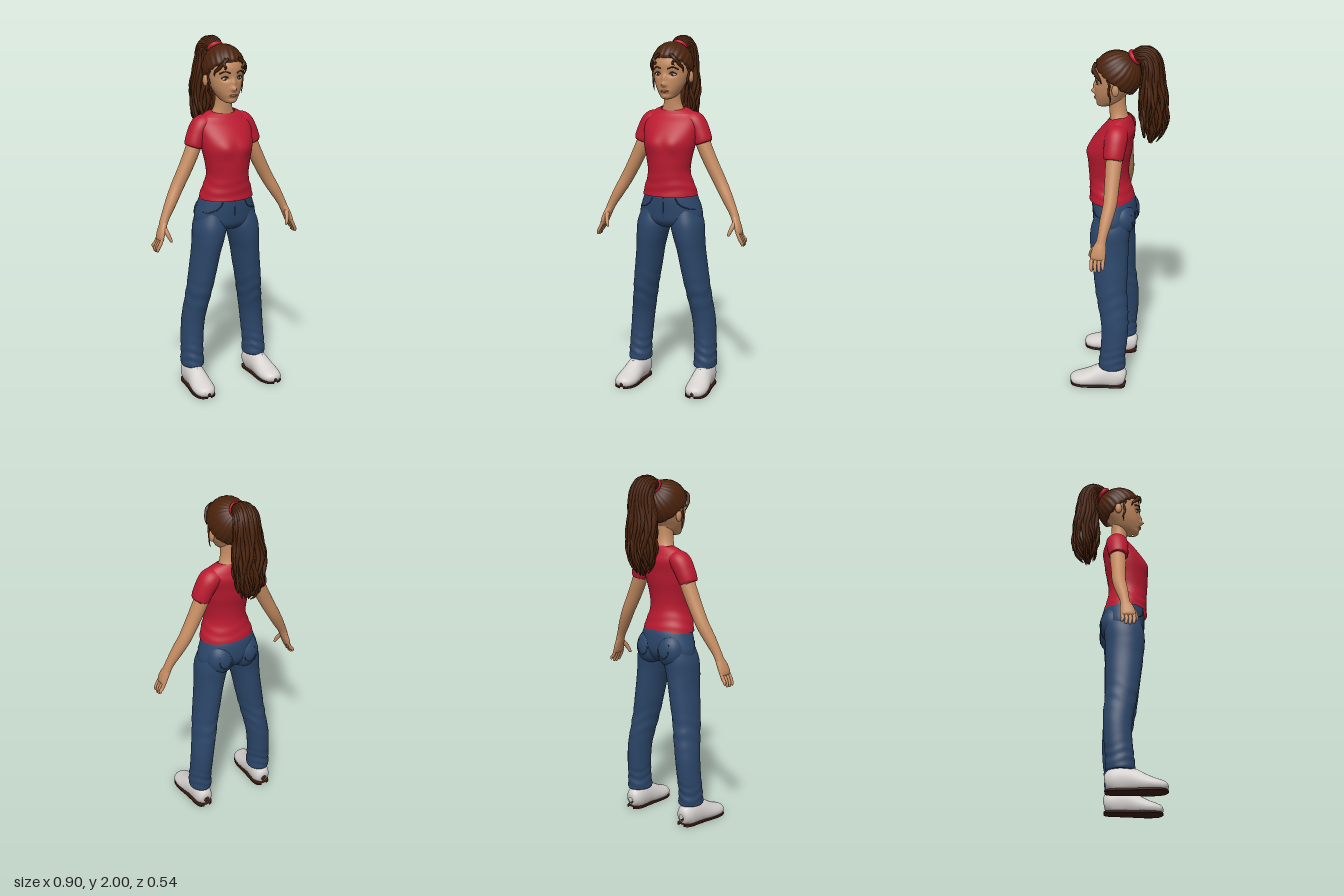
import * as THREE from 'three';

const mat = (name, color, side = THREE.FrontSide) => Object.assign(new THREE.MeshStandardMaterial({ color, side }), { name });
const V = (x, y, z) => new THREE.Vector3(x, y, z);
const gauss = (a, b = 0) => Math.exp(-(a * a + b * b));

export function createModel() {
  const root = new THREE.Group();
  root.name = 'standingWoman';
  const skin = mat('skin', 0xc58c62);
  const hair = mat('hair', 0x4a230c, THREE.DoubleSide);
  const red = mat('redCloth', 0xba1a30, THREE.DoubleSide);
  const denim = mat('denim', 0x2b4669, THREE.DoubleSide);
  const seam = mat('denimSeam', 0x22385a);
  const shoeWhite = mat('shoeWhite', 0xd6d2d0);
  const soleBrown = mat('soleBrown', 0x3c1c10);
  const eyeWhite = mat('eyeWhite', 0xd9d6d0);
  const iris = mat('iris', 0x3a2a20);
  const lip = mat('lip', 0xb0685a);

  const add = (name, geo, material) => {
    const m = new THREE.Mesh(geo, material);
    m.name = name;
    root.add(m);
    return m;
  };

  // Smooth skin over elliptical rings; each row is [x, y, z, radiusA, radiusB].
  // flat keeps rings horizontal; bump scales a ring point; sculpt moves it.
  function sweep(name, rows, material, { seg = 40, rad = 28, flat = false, bump, sculpt } = {}) {
    const path = new THREE.CatmullRomCurve3(rows.map(r => V(r[0], r[1], r[2])), false, 'catmullrom');
    const size = new THREE.CatmullRomCurve3(rows.map(r => V(r[3], r[4], 0)), false, 'catmullrom');
    const pos = [], idx = [];
    const down = rows[rows.length - 1][1] < rows[0][1];
    for (let i = 0; i <= seg; i++) {
      const u = i / seg, c = path.getPoint(u), r = size.getPoint(u);
      const t = flat ? V(0, down ? -1 : 1, 0) : path.getTangent(u);
      const S = V(1, 0, 0).addScaledVector(t, -t.x).normalize();
      const B = t.clone().cross(S);
      for (let j = 0; j < rad; j++) {
        const th = j / rad * Math.PI * 2, k = bump ? bump(th, c.y, u) : 1;
        const p = c.clone().addScaledVector(S, Math.max(r.x, 0.001) * k * Math.cos(th))
          .addScaledVector(B, Math.max(r.y, 0.001) * k * Math.sin(th));
        if (sculpt) sculpt(p);
        pos.push(p.x, p.y, p.z);
        if (i < seg) {
          const a = i * rad + j, b = i * rad + (j + 1) % rad;
          idx.push(a, b, a + rad, b, b + rad, a + rad);
        }
      }
    }
    const g = new THREE.BufferGeometry();
    g.setAttribute('position', new THREE.Float32BufferAttribute(pos, 3));
    g.setIndex(idx);
    g.computeVertexNormals();
    return add(name, g, material);
  }
  const blob = (name, c, r, material) => {
    const g = new THREE.SphereGeometry(1, 24, 16).scale(...r).translate(...c);
    return add(name, g, material);
  };
  const cord = (name, pts, r, material) => add(name, new THREE.TubeGeometry(
    new THREE.CatmullRomCurve3(pts.map(p => V(...p))), 16, r, 6), material);
  const lock = (name, pts, r) => sweep(name, pts.map((p, i) => {
    const k = r * Math.max(0.12, Math.sin(Math.PI * (0.2 + 0.8 * i / (pts.length - 1))));
    return [...p, k, k];
  }), hair, { seg: 24, rad: 6 });

  // Head and neck
  sweep('neck', [[0, 1.56, 0, 0.09, 0.06], [0, 1.6, 0.01, 0.06, 0.051], [0, 1.65, 0.018, 0.047, 0.047],
    [0, 1.73, 0.025, 0.047, 0.05]], skin, { flat: true });
  sweep('head', [[0, 1.65, 0.1, 0.006, 0.006], [0, 1.657, 0.095, 0.03, 0.035], [0, 1.68, 0.069, 0.053, 0.069],
    [0, 1.72, 0.056, 0.076, 0.086], [0, 1.76, 0.041, 0.091, 0.101], [0, 1.8, 0.028, 0.1, 0.113],
    [0, 1.85, 0.026, 0.1, 0.116], [0, 1.9, 0.021, 0.084, 0.101], [0, 1.93, 0.012, 0.058, 0.07],
    [0, 1.945, 0.01, 0.005, 0.005]], skin, {
    seg: 84, rad: 88, flat: true, sculpt: p => {
      if (p.z < 0.05) return;
      const x = Math.abs(p.x), y = p.y;
      p.z += 0.023 * gauss(x / 0.014, (y - 1.734) / 0.013) + 0.013 * gauss(x / 0.011, (y - 1.765) / 0.024)
        - 0.011 * gauss((x - 0.042) / 0.02, (y - 1.79) / 0.014) + 0.005 * gauss(x / 0.024, (y - 1.7) / 0.012)
        - 0.004 * gauss(x / 0.03, (y - 1.682) / 0.008);
    },
  });
  blob('mouth', [0, 1.699, 0.137], [0.024, 0.0075, 0.013], lip);
  for (const s of [1, -1]) {
    blob('ear', [s * 0.108, 1.772, 0.012], [0.013, 0.033, 0.02], skin);
    blob('eyeball', [s * 0.042, 1.79, 0.111], [0.02, 0.011, 0.018], eyeWhite);
    blob('iris', [s * 0.042, 1.79, 0.1235], [0.008, 0.009, 0.007], iris);
    cord('lashes', [[s * 0.021, 1.789, 0.128], [s * 0.042, 1.802, 0.13], [s * 0.065, 1.791, 0.116]], 0.0028, hair);
    cord('eyebrow', [[s * 0.018, 1.819, 0.142], [s * 0.045, 1.829, 0.132], [s * 0.073, 1.816, 0.109]], 0.0038, hair);
    // Loose curls at the temple and ear
    lock('templeCurl', [[s * 0.03, 1.9, 0.135], [s * 0.062, 1.875, 0.138], [s * 0.082, 1.845, 0.118],
      [s * 0.094, 1.825, 0.1], [s * 0.092, 1.8, 0.09]], 0.011);
    lock('foreheadCurl', [[s * 0.045, 1.9, 0.125], [s * 0.06, 1.87, 0.142], [s * 0.05, 1.85, 0.145], [s * 0.06, 1.84, 0.14]], 0.008);
    lock('earCurl', [[s * 0.1, 1.83, 0.06], [s * 0.108, 1.8, 0.045], [s * 0.102, 1.76, 0.05], [s * 0.106, 1.72, 0.04],
      [s * 0.098, 1.69, 0.045]], 0.007);
  }

  // Hair cap, combed toward the tie at the back of the crown
  const capPos = [], capIdx = [], A = 26, P = 144, q = Math.SQRT1_2;
  for (let i = 0; i <= A; i++) for (let j = 0; j < P; j++) {
    const f = j / P * Math.PI * 2, c = Math.cos(f);
    const edge = 1.77 + 0.14 * c + 0.05 * c * c + 0.025 * Math.sin(c * 19);
    const a = edge * i / A;
    const k = 1 + 0.012 * Math.sin(f * 24 + Math.sin(a * 4)) * Math.sin(Math.min(a, 1.57)) - (i === A ? 0.06 : 0);
    const up = Math.sin(a) * c, pole = Math.cos(a);
    capPos.push(0.117 * k * Math.sin(a) * Math.sin(f), 1.83 + 0.135 * k * q * (pole + up), 0.02 + 0.133 * k * q * (up - pole));
    if (i < A) {
      const b = i * P + j, d = i * P + (j + 1) % P;
      capIdx.push(b, b + P, d, d, b + P, d + P);
    }
  }
  const cap = new THREE.BufferGeometry();
  cap.setAttribute('position', new THREE.Float32BufferAttribute(capPos, 3));
  cap.setIndex(capIdx);
  cap.computeVertexNormals();
  add('hairCap', cap, hair);

  // Ponytail: ridged core, wavy locks around it, and the tie
  const tail = [[0, 1.915, -0.065, 0.03, 0.03], [0, 1.942, -0.1, 0.043, 0.036], [0, 1.94, -0.145, 0.056, 0.044],
    [0, 1.88, -0.172, 0.062, 0.048], [-0.005, 1.78, -0.175, 0.07, 0.055], [-0.01, 1.68, -0.178, 0.075, 0.062],
    [-0.01, 1.58, -0.183, 0.065, 0.056], [-0.01, 1.5, -0.172, 0.038, 0.034], [0, 1.45, -0.16, 0.005, 0.005]];
  sweep('ponytailCore', tail, hair, { seg: 70, rad: 72, bump: (th, y, u) => 1 + 0.06 * Math.sin(12 * th + 7 * Math.sin(u * 9)) });
  const tailPath = new THREE.CatmullRomCurve3(tail.map(r => V(r[0], r[1], r[2])), false, 'catmullrom');
  const tailSize = new THREE.CatmullRomCurve3(tail.map(r => V(r[3], r[4], 0)), false, 'catmullrom');
  let seed = 7;
  const rnd = () => (seed = (seed * 16807) % 2147483647) / 2147483647;
  for (let n = 0; n < 26; n++) {
    const a0 = n / 26 * Math.PI * 2, end = 0.78 + 0.2 * rnd(), ph = rnd() * 6.3, rows = [];
    for (let i = 0; i <= 14; i++) {
      const v = i / 14, u = 0.06 + (end - 0.06) * v;
      const c = tailPath.getPoint(u), r = tailSize.getPoint(u), B = tailPath.getTangent(u).cross(V(1, 0, 0)).normalize();
      const a = a0 + 0.22 * v * Math.sin(v * 15 + ph), w = 1 + 0.13 * v * Math.sin(v * 19 + ph), spread = 0.02 * v * v;
      c.x += Math.cos(a) * (r.x * w + spread);
      c.addScaledVector(B, Math.sin(a) * (r.y * w + spread));
      const k = 0.005 + 0.008 * Math.sin(Math.PI * Math.min(1, v * 0.9 + 0.1));
      rows.push([c.x, c.y, c.z, i === 14 ? 0.002 : k, i === 14 ? 0.002 : k]);
    }
    sweep('ponytailLock', rows, hair, { seg: 44, rad: 7 });
  }
  const tie = add('hairTie', new THREE.TorusGeometry(0.035, 0.014, 12, 32), red);
  tie.position.set(0, 1.932, -0.078);
  tie.rotation.x = 0.7;

  // T-shirt body
  sweep('shirtBody', [[0, 1.115, 0.05, 0.158, 0.128], [0, 1.15, 0.053, 0.15, 0.122], [0, 1.24, 0.066, 0.122, 0.112],
    [0, 1.32, 0.068, 0.13, 0.115], [0, 1.4, 0.06, 0.148, 0.122], [0, 1.46, 0.046, 0.156, 0.115],
    [0, 1.52, 0.02, 0.16, 0.097], [0, 1.56, 0.008, 0.143, 0.073], [0, 1.59, 0.008, 0.105, 0.06],
    [0, 1.605, 0.01, 0.072, 0.053]], red, {
    seg: 80, rad: 64, flat: true,
    bump: (th, y) => 1 + 0.013 * Math.sin(110 * y + 2 * Math.sin(2 * th) + th) * gauss((y - 1.18) / 0.05),
    sculpt: p => {
      if (p.z > 0.04) p.z += 0.012 * gauss((Math.abs(p.x) - 0.06) / 0.045, (p.y - 1.41) / 0.045);
      if (p.y > 1.57 && p.z > 0) p.y -= 0.3 * p.z * (p.y - 1.57) / 0.035;
    },
  });

  // Jeans hips
  sweep('jeansHips', [[0, 1.15, 0.045, 0.14, 0.11], [0, 1.1, 0.04, 0.159, 0.123], [0, 1.02, 0.036, 0.184, 0.122],
    [0, 0.97, 0.042, 0.175, 0.108], [0, 0.94, 0.045, 0.12, 0.075], [0, 0.925, 0.045, 0.02, 0.02]], denim, { rad: 48, flat: true });
  const hip = (f, y) => [(0.159 + (1.1 - y) * 0.31) * Math.sin(f), y, 0.039 + 0.124 * Math.cos(f)];
  cord('flySeam', [[0.0, 1.11, 0.162], [0, 1.05, 0.161], [0, 0.99, 0.153]], 0.003, seam);

  for (const s of [1, -1]) {
    // Sleeve and arm
    sweep('sleeve', [[s * 0.09, 1.545, 0, 0.045, 0.055], [s * 0.13, 1.52, 0.002, 0.057, 0.063], [s * 0.162, 1.465, 0.006, 0.055, 0.06],
      [s * 0.182, 1.413, 0.01, 0.05, 0.055], [s * 0.183, 1.41, 0.01, 0.035, 0.04]], red, { seg: 36 });
    sweep('arm', [[s * 0.14, 1.5, 0, 0.042, 0.045], [s * 0.19, 1.38, 0.006, 0.041, 0.045], [s * 0.235, 1.285, 0.008, 0.039, 0.041],
      [s * 0.285, 1.19, 0.01, 0.036, 0.038], [s * 0.33, 1.11, 0.024, 0.032, 0.034], [s * 0.368, 1.04, 0.036, 0.025, 0.027],
      [s * 0.388, 0.995, 0.042, 0.022, 0.028]], skin);
    // Hand
    sweep('palm', [[s * 0.38, 1.01, 0.04, 0.021, 0.026], [s * 0.4, 0.965, 0.049, 0.02, 0.038], [s * 0.414, 0.925, 0.055, 0.016, 0.041],
      [s * 0.419, 0.908, 0.056, 0.003, 0.03]], skin, { seg: 20 });
    [0.027, 0.02, 0.016, 0.002].forEach((len, i) => {
      const z = 0.086 - 0.021 * i, d = [0.004, 0, 0.002, 0.016][i];
      sweep('finger', [[s * 0.41, 0.93, z, 0.009, 0.01], [s * 0.428, 0.893, z + 0.002, 0.01, 0.01],
        [s * 0.439, 0.868 + d, z, 0.009, 0.009], [s * 0.441, 0.855 + d, z - 0.002, 0.007, 0.007],
        [s * 0.441, 0.849 + d, z - 0.003, 0.001, 0.001]], skin, { seg: 14, rad: 10 });
    });
    sweep('thumb', [[s * 0.392, 0.985, 0.06, 0.014, 0.015], [s * 0.383, 0.955, 0.088, 0.012, 0.013], [s * 0.373, 0.928, 0.102, 0.01, 0.01],
      [s * 0.367, 0.912, 0.107, 0.007, 0.007], [s * 0.366, 0.907, 0.108, 0.001, 0.001]], skin, { seg: 14, rad: 12 });

    // Jeans seat, leg and pocket seams
    blob('jeansSeat', [s * 0.077, 1.015, -0.015], [0.086, 0.1, 0.08], denim);
    sweep('jeansLeg', [[s * 0.095, 1.04, 0.035, 0.07, 0.098], [s * 0.1, 0.96, 0.043, 0.094, 0.112], [s * 0.112, 0.88, 0.047, 0.088, 0.11],
      [s * 0.125, 0.8, 0.042, 0.079, 0.105], [s * 0.14, 0.7, 0.036, 0.076, 0.098], [s * 0.156, 0.6, 0.03, 0.072, 0.091],
      [s * 0.172, 0.5, 0.016, 0.068, 0.086], [s * 0.188, 0.4, 0.004, 0.066, 0.079], [s * 0.197, 0.3, 0.005, 0.064, 0.076],
      [s * 0.203, 0.2, 0.014, 0.063, 0.075], [s * 0.203, 0.125, 0.018, 0.065, 0.078], [s * 0.203, 0.12, 0.018, 0.045, 0.05]], denim, {
      seg: 120, rad: 44, flat: true, bump: (th, y) => 1
        + 0.022 * Math.sin(75 * y + 2 * th * s + Math.sin(3 * th)) * gauss((y - 0.54) / 0.09)
        + 0.03 * Math.sin(120 * y + 2 * Math.sin(th * 2)) * gauss((y - 0.19) / 0.07),
    });
    cord('frontPocketSeam', [hip(s * 0.45, 1.11), hip(s * 0.55, 1.075), hip(s * 0.85, 1.05), hip(s * 1.2, 1.045)], 0.003, seam);
    const seat = (x, y) => [s * x, y, -0.015 - 0.08 * Math.sqrt(1 - ((x - 0.077) / 0.086) ** 2 - ((y - 1.015) / 0.1) ** 2)];
    cord('backPocketSeam', [seat(0.046, 1.06), seat(0.047, 1.0), seat(0.08, 0.975), seat(0.113, 1.0), seat(0.114, 1.06)], 0.0025, seam);

    // Shoe, sole and laces
    const shoe = [[0.203, 0.05, -0.064, 0.015, 0.02], [0.203, 0.052, -0.055, 0.038, 0.045], [0.204, 0.06, -0.02, 0.052, 0.072],
      [0.206, 0.064, 0.03, 0.054, 0.08], [0.209, 0.06, 0.08, 0.056, 0.07], [0.212, 0.046, 0.13, 0.061, 0.058],
      [0.215, 0.035, 0.18, 0.064, 0.046], [0.217, 0.03, 0.22, 0.058, 0.038], [0.217, 0.027, 0.25, 0.042, 0.028],
      [0.217, 0.024, 0.266, 0.008, 0.01]].map(r => [s * r[0], ...r.slice(1)]);
    sweep('shoe', shoe, shoeWhite, { rad: 36, sculpt: p => { p.y = Math.max(p.y, 0.008); } });
    sweep('shoeSole', shoe.map(r => [r[0], 0.005, r[2], r[3] + 0.001, 0.03]), soleBrown,
      { rad: 36, sculpt: p => { p.y = Math.min(0.01, Math.max(0, p.y)); } });
    for (let i = 0; i < 5; i++) {
      const z = 0.085 + i * 0.021, y = 0.129 - i * 0.0125, x = s * (0.209 + i * 0.001);
      cord('lace', [[x - 0.03, y - 0.013, z], [x, y + 0.002, z + 0.004], [x + 0.03, y - 0.013, z]], 0.0045, shoeWhite);
    }
  }
  return root;
}
